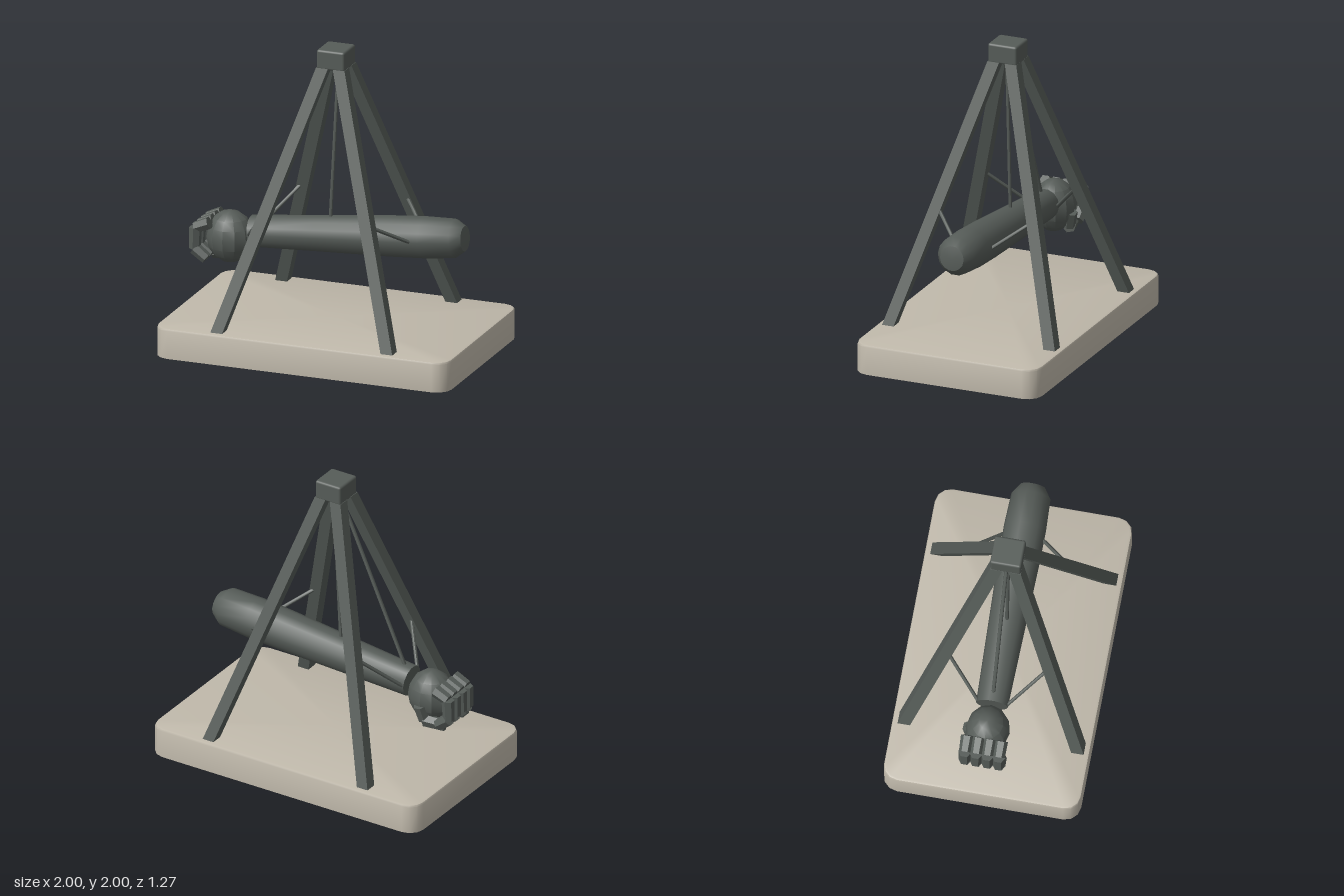
import * as THREE from 'three';
import { toCreasedNormals } from 'three/addons/utils/BufferGeometryUtils.js';
import { RoundedBoxGeometry } from 'three/addons/geometries/RoundedBoxGeometry.js';

const V = (x, y, z) => new THREE.Vector3(x, y, z);

export function createModel() {
  const model = new THREE.Group();
  model.name = 'hangingArmSculpture';
  const iron = new THREE.MeshStandardMaterial({ color: 0x565c58 });
  iron.name = 'dark iron';
  const stone = new THREE.MeshStandardMaterial({ color: 0xbfb8aa, side: THREE.DoubleSide });
  stone.name = 'pale stone';

  const add = (name, geometry, material = iron, parent = model) => {
    const mesh = new THREE.Mesh(geometry, material);
    mesh.name = name;
    parent.add(mesh);
    return mesh;
  };

  // Straight bar between two points
  const bar = (name, a, b, r0, r1, sides, parent = model) => {
    const round = new THREE.CylinderGeometry(r1, r0, a.distanceTo(b), sides);
    const mesh = add(name, toCreasedNormals(round, sides > 6 ? 0.9 : 0.3), iron, parent);
    mesh.position.copy(a).lerp(b, 0.5);
    mesh.quaternion.setFromUnitVectors(V(0, 1, 0), b.clone().sub(a).normalize());
    return mesh;
  };

  // Plinth: hollow shell with rounded corners, open underneath
  const outline = (hx, hz, r) => {
    const pts = [];
    const corners = [[1, 1], [-1, 1], [-1, -1], [1, -1]];
    corners.forEach(([sx, sz], c) => {
      for (let k = 0; k <= 3; k++) {
        const t = (c + k / 3) * Math.PI / 2;
        pts.push([sx * (hx - r) + r * Math.cos(t), -(sz * (hz - r) + r * Math.sin(t))]);
      }
    });
    return pts;
  };
  const levels = [[0, 0], [0.185, 0], [0.196, 0.005], [0.2, 0.018]];
  const pos = [], index = [];
  levels.forEach(([y, inset]) => {
    outline(1 - inset, 0.635 - inset, 0.1 - inset).forEach(([x, z]) => pos.push(x, y, z));
  });
  const n = pos.length / 3 / levels.length;
  const centre = pos.length / 3;
  pos.push(0, 0.2, 0);
  for (let i = 0; i < n; i++) {
    const j = (i + 1) % n;
    for (let l = 0; l < levels.length - 1; l++) {
      const a = l * n, b = a + n;
      index.push(a + i, a + j, b + j, a + i, b + j, b + i);
    }
    index.push(centre, (levels.length - 1) * n + i, (levels.length - 1) * n + j);
  }
  const shell = new THREE.BufferGeometry();
  shell.setAttribute('position', new THREE.Float32BufferAttribute(pos, 3));
  shell.setIndex(index);
  add('plinth', toCreasedNormals(shell, 0.6), stone);

  // Four square legs leaning in to the apex, with level ends
  for (const sx of [1, -1]) for (const sz of [1, -1]) {
    const leg = new THREE.BoxGeometry(0.08, 1.69, 0.08);
    const p = leg.attributes.position;
    for (let i = 0; i < p.count; i++) {
      const t = p.getY(i) / 1.69 + 0.5;
      p.setXYZ(i, p.getX(i) + sx * THREE.MathUtils.lerp(0.583, 0.057, t), 0.19 + 1.69 * t,
        p.getZ(i) + sz * THREE.MathUtils.lerp(0.562, 0.06, t));
    }
    leg.computeVertexNormals();
    add('leg', leg);
    // Brace from the leg to the arm
    bar('brace', V(sx * 0.37, 0.93, sz * 0.31),
      sx > 0 ? V(0.56, 0.79, sz * 0.11) : V(-0.56, 0.7, sz * 0.09), 0.012, 0.012, 8);
  }
  add('apexBlock', new RoundedBoxGeometry(0.19, 0.13, 0.2, 2, 0.015)).position.y = 1.935;

  // Hanging rods
  bar('middleRod', V(-0.038, 0.84, 0), V(0.017, 1.89, 0), 0.012, 0.012, 8);
  bar('wristRod', V(-0.53, 0.77, 0), V(-0.03, 1.89, 0), 0.012, 0.012, 8);

  // Forearm: turned profile laid along its axis
  const profile = [[0, 0], [0.102, 0], [0.116, 0.45], [0.132, 0.95], [0.135, 1.18],
    [0.126, 1.39], [0.082, 1.455], [0, 1.468]].map(([r, y]) => new THREE.Vector2(r, y));
  const arm = add('forearm', toCreasedNormals(new THREE.LatheGeometry(profile, 14), 0.7));
  arm.position.set(-0.57, 0.7, 0);
  arm.quaternion.setFromUnitVectors(V(0, 1, 0), V(1, 0.087, 0).normalize());

  // Clenched fist
  const fist = new THREE.Group();
  fist.name = 'fist';
  model.add(fist);
  const palm = add('palm', toCreasedNormals(new THREE.SphereGeometry(1, 12, 8), 0.5), iron, fist);
  palm.scale.set(0.155, 0.172, 0.142);
  palm.position.set(-0.72, 0.648, 0);

  // Four curled fingers, each of three faceted segments
  for (let f = 0; f < 4; f++) {
    const z = -0.112 + f * 0.073;
    const joints = [V(-0.82, 0.755, z), V(-0.915, 0.715, z), V(-0.92, 0.575, z), V(-0.84, 0.515, z)];
    for (let k = 0; k < 3; k++) {
      bar('fingerSegment', joints[k], joints[k + 1], 0.042, 0.038, 6, fist);
    }
  }

  // Thumb folded underneath
  const thumb = [V(-0.71, 0.62, -0.12), V(-0.73, 0.515, -0.1), V(-0.87, 0.5, -0.07)];
  for (let k = 0; k < 2; k++) bar('thumbSegment', thumb[k], thumb[k + 1], 0.046, 0.04, 6, fist);

  return model;
}
